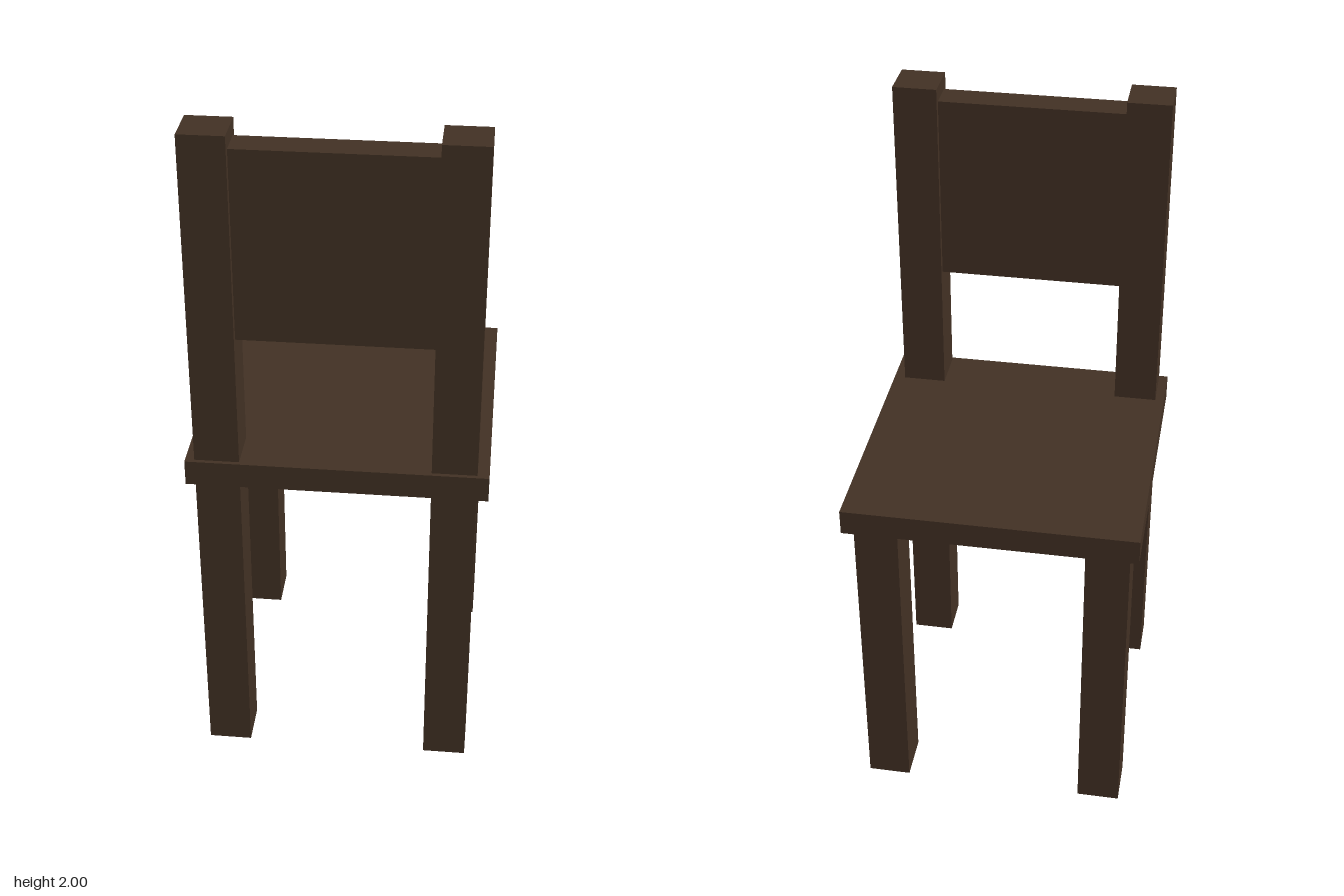
import * as THREE from 'three';

export function createModel() {
  const chair = new THREE.Group();
  chair.name = 'chair';
  const wood = new THREE.MeshStandardMaterial({ color: 0x423124, flatShading: true });

  // Box given by its minimum and maximum corners
  function board(name, min, max) {
    const size = max.map((v, i) => v - min[i]);
    const mesh = new THREE.Mesh(new THREE.BoxGeometry(...size), wood);
    mesh.position.set(...max.map((v, i) => (v + min[i]) / 2));
    mesh.name = name;
    chair.add(mesh);
  }

  const seatBottom = 0.957, seatTop = 1.032;
  board('seat', [-0.423, seatBottom, -0.423], [0.423, seatTop, 0.423]);

  // Short legs on one side, full-height posts on the backrest side
  for (const [side, x0, x1] of [['right', -0.397, -0.271], ['left', 0.264, 0.39]]) {
    board(side + 'ShortLeg', [x0, 0, -0.407], [x1, seatBottom, -0.272]);
    board(side + 'BackPost', [x0, 0, 0.284], [x1, 2, 0.411]);
  }

  // Wide back panel held between the posts
  board('backPanel', [-0.271, 1.412, 0.302], [0.264, 1.958, 0.391]);

  return chair;
}
